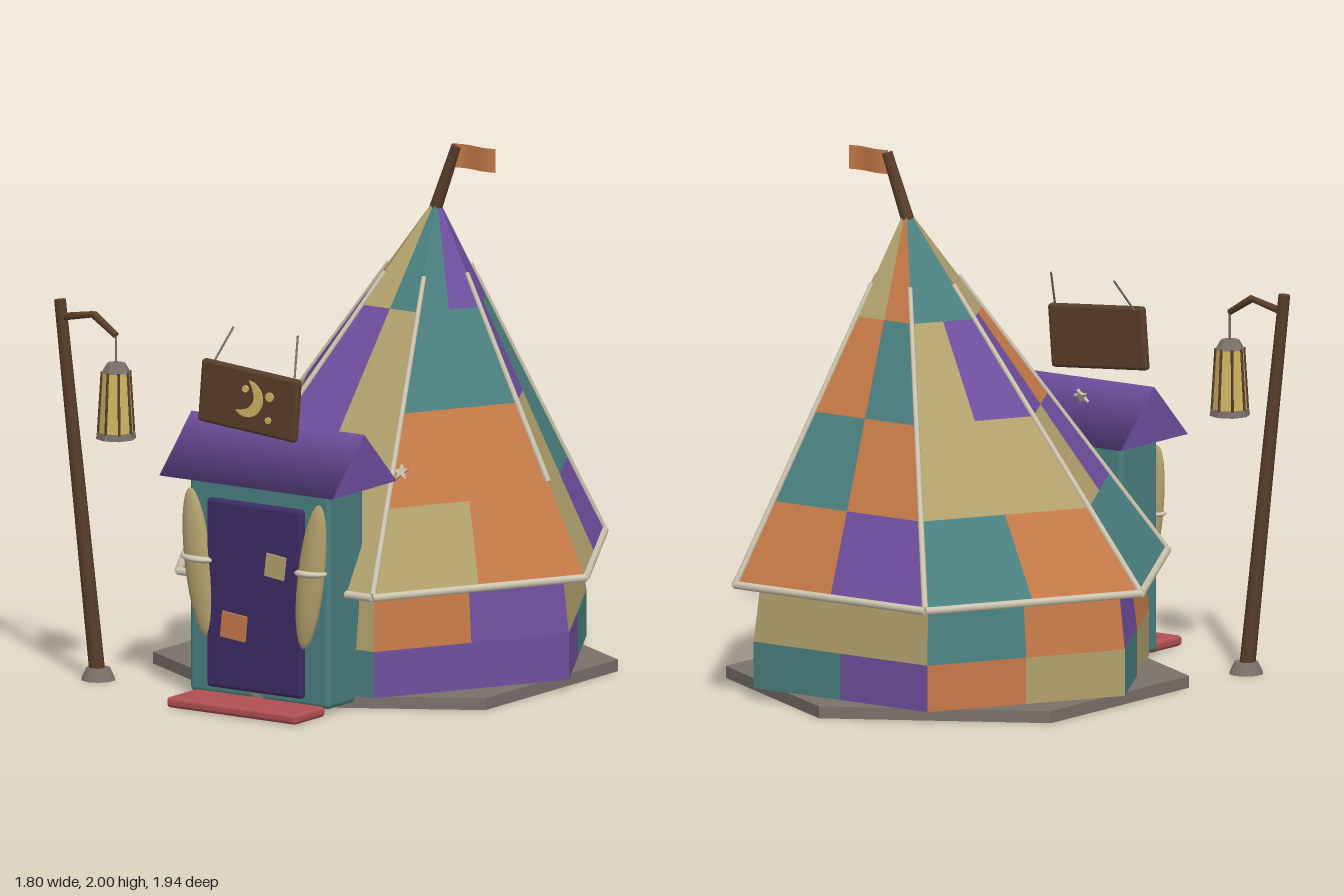
import * as THREE from 'three';
import { RoundedBoxGeometry } from 'three/addons/geometries/RoundedBoxGeometry.js';

const paint = (name, color) => {
  const m = new THREE.MeshStandardMaterial({ color, side: THREE.DoubleSide });
  m.name = name;
  return m;
};

export function createModel() {
  const purple = paint('purple cloth', 0x6f4f9f);
  const teal = paint('teal cloth', 0x4b8080);
  const orange = paint('orange cloth', 0xc67a48);
  const tan = paint('tan cloth', 0xb3a26e);
  const cream = paint('cream rope', 0xcfc6b0);
  const plum = paint('plum door', 0x3e2b66);
  const wood = paint('dark wood', 0x5a3f2a);
  const red = paint('red mat', 0xb05052);
  const stone = paint('grey stone', 0x7b716b);
  const glow = paint('lantern gold', 0xd0b562);

  const root = new THREE.Group();
  root.name = 'patchworkTent';
  const V = (x, y, z) => new THREE.Vector3(x, y, z);
  const add = (name, geo, mat, x = 0, y = 0, z = 0, rx = 0, ry = 0, rz = 0, parent = root) => {
    const m = new THREE.Mesh(geo, mat);
    m.name = name;
    m.position.set(x, y, z);
    m.rotation.set(rx, ry, rz);
    parent.add(m);
    return m;
  };
  // round bar from a to b
  const rod = (name, a, b, ra, rb, mat, parent = root) => {
    const d = b.clone().sub(a);
    const m = add(name, new THREE.CylinderGeometry(rb, ra, d.length(), 8), mat, 0, 0, 0, 0, 0, 0, parent);
    m.position.copy(a).add(b).multiplyScalar(0.5);
    m.quaternion.setFromUnitVectors(V(0, 1, 0), d.normalize());
    return m;
  };
  const flat = (w, h) => new RoundedBoxGeometry(w, h, 0.008, 1, 0.003);

  // Six-sided patchwork: rings are [x, y, z, radius]; each face has two patches per ring step
  const letters = 'PTON', cloths = [purple, teal, orange, tan];
  const corner = ([x, y, z, r], k) => V(x + r * Math.cos(k * Math.PI / 3), y, z + r * Math.sin(k * Math.PI / 3));
  const patchwork = (name, rings, faces) => {
    const pos = [], geo = new THREE.BufferGeometry();
    faces.forEach((rows, k) => rows.split(' ').forEach((row, i) => {
      for (let c = 0; c < 2; c++) {
        const at = (ring, t) => corner(ring, k).lerp(corner(ring, k + 1), t);
        const a = at(rings[i], c / 2), b = at(rings[i], (c + 1) / 2);
        const d = at(rings[i + 1], c / 2), e = at(rings[i + 1], (c + 1) / 2);
        geo.addGroup(pos.length / 3, 6, letters.indexOf(row[c]));
        for (const p of [b, a, d, b, d, e]) pos.push(p.x, p.y, p.z);
      }
    }));
    geo.setAttribute('position', new THREE.Float32BufferAttribute(pos, 3));
    geo.computeVertexNormals();
    return add(name, geo, cloths);
  };

  // Stone floor slab
  add('floorSlab', new THREE.CylinderGeometry(0.865, 0.865, 0.045, 6).toNonIndexed(), stone, 0, 0.0225, -0.105)
    .geometry.computeVertexNormals();

  // Tent walls and leaning roof
  patchwork('tentWalls',
    [[0.01, 0.045, -0.13, 0.8], [0.01, 0.22, -0.13, 0.8], [0.01, 0.5, -0.13, 0.765]],
    ['PP PO', 'TT NT', 'NT OP', 'NO OT', 'PT NN', 'TP NN']);
  const eave = [0.01, 0.44, -0.13, 0.875], tip = [0.17, 1.77, -0.19, 0.014];
  const roofRing = y => eave.map((v, i) => v + (tip[i] - v) * (y - 0.44) / 1.33);
  patchwork('tentRoof', [0.44, 0.74, 1.06, 1.4, 1.77].map(roofRing),
    ['ON OO TT PT', 'NO NP NP TN', 'TT PN OP NN', 'OT NN PN TT', 'PO OT TO ON', 'PN TN TP PP']);

  // Ropes along the eaves and ridges
  for (let k = 0; k < 6; k++) {
    rod('eaveRope', corner(eave, k), corner(eave, k + 1), 0.015, 0.015, cream);
    rod('ridgeRope', corner(roofRing(k ? 0.45 : 0.78), k), corner(roofRing(1.52), k), 0.012, 0.009, cream);
  }

  // Flagpole and waving flag
  rod('flagPole', V(0.165, 1.74, -0.19), V(0.255, 1.99, -0.2), 0.025, 0.02, wood);
  const flag = new THREE.PlaneGeometry(0.18, 0.09, 10, 1);
  const fp = flag.attributes.position;
  for (let i = 0; i < fp.count; i++) fp.setZ(i, 0.007 * Math.sin(fp.getX(i) * 35));
  flag.computeVertexNormals();
  add('flag', flag, orange, 0.34, 1.953, -0.2);

  // Porch with its prism roof
  add('porch', new RoundedBoxGeometry(0.63, 0.82, 0.23, 2, 0.02), teal, 0.015, 0.43, 0.627);
  const prism = new THREE.CylinderGeometry(1, 1, 0.78, 3);
  prism.rotateY(Math.PI / 2).rotateZ(Math.PI / 2).scale(1, 0.14, 0.2425);
  add('porchRoof', prism, purple, 0.01, 0.91, 0.61);

  // Door, sewn patches and doormat
  add('door', new RoundedBoxGeometry(0.43, 0.715, 0.04, 2, 0.015), plum, 0.01, 0.41, 0.75);
  add('doorPatch', flat(0.09, 0.09), tan, 0.11, 0.543, 0.772, 0, 0, -0.12);
  add('doorPatch', flat(0.115, 0.1), orange, -0.077, 0.295, 0.772, 0, 0, -0.1);
  add('doorMat', new RoundedBoxGeometry(0.585, 0.04, 0.2, 2, 0.015), red, 0.045, 0.022, 0.87);

  // Curtains tied at the waist
  for (const s of [-1, 1]) {
    const curtain = new THREE.SphereGeometry(1, 20, 14).scale(0.057, 0.28, 0.032);
    add('curtain', curtain, tan, 0.01 + s * 0.255, 0.52, 0.762, 0, 0, -s * 0.13);
    const tie = new THREE.SphereGeometry(1, 16, 10).scale(0.07, 0.018, 0.042);
    add('curtainTie', tie, cream, 0.01 + s * 0.255, 0.535, 0.765, 0, 0, s * 0.04);
  }

  // Hanging sign with a crescent emblem
  const sign = new THREE.Group();
  sign.name = 'sign';
  sign.position.set(0.012, 1.167, 0.795);
  sign.rotation.z = -0.08;
  root.add(sign);
  add('signBoard', new RoundedBoxGeometry(0.44, 0.24, 0.035, 2, 0.014), wood, 0, 0, 0, 0, 0, 0, sign);
  const moon = new THREE.Shape();
  moon.absarc(0, 0, 0.07, -2.3, 1.5, false);
  moon.quadraticCurveTo(0.075, -0.03, 0.07 * Math.cos(-2.3), 0.07 * Math.sin(-2.3));
  add('crescent', new THREE.ExtrudeGeometry(moon, { depth: 0.008, bevelEnabled: false }), glow, 0, 0.01, 0.016, 0, 0, 0, sign);
  for (const [x, y, r] of [[0.1, 0.035, 0.018], [0.1, -0.055, 0.013], [-0.01, 0.045, 0.014]])
    add('signDot', new THREE.CylinderGeometry(r, r, 0.008, 12), glow, x, y, 0.02, Math.PI / 2, 0, 0, sign);
  rod('signCord', V(-0.165, 1.28, 0.785), V(-0.135, 1.41, 0.69), 0.004, 0.004, stone);
  rod('signCord', V(0.205, 1.26, 0.785), V(0.155, 1.41, 0.69), 0.004, 0.004, stone);

  // Small stars pinned over the roof
  const star = new THREE.Shape();
  for (let i = 0; i < 10; i++) {
    const r = i % 2 ? 0.014 : 0.033, a = i * Math.PI / 5 + Math.PI / 2;
    star[i ? 'lineTo' : 'moveTo'](r * Math.cos(a), r * Math.sin(a));
  }
  const starGeo = new THREE.ExtrudeGeometry(star, { depth: 0.012, bevelEnabled: false });
  add('star', starGeo, cream, 0.415, 0.87, 0.385, -0.5, 0, 0.2);
  add('star', starGeo, cream, -0.28, 1.05, 0.285, -0.5, 0, -0.2);

  // Leaning lamp post with bent arm
  add('lampFoot', new THREE.CylinderGeometry(0.045, 0.066, 0.045, 10), stone, -0.752, 0.0225, 0.68);
  rod('lampPost', V(-0.757, 0.03, 0.68), V(-0.88, 1.435, 0.745), 0.03, 0.022, wood);
  const bends = [V(-0.875, 1.37, 0.742), V(-0.72, 1.4, 0.757), V(-0.61, 1.335, 0.77)];
  for (let i = 0; i < 2; i++) rod('lampArm', bends[i], bends[i + 1], 0.015, 0.012, wood);
  rod('lanternCord', bends[2], V(-0.61, 1.22, 0.77), 0.004, 0.004, stone);

  // Lantern
  const lantern = new THREE.Group();
  lantern.name = 'lantern';
  lantern.position.set(-0.61, 0, 0.77);
  root.add(lantern);
  const drum = (name, top, bottom, h, y, mat) => {
    const g = new THREE.CylinderGeometry(top, bottom, h, 8).toNonIndexed();
    g.computeVertexNormals();
    add(name, g, mat, 0, y, 0, 0, 0, 0, lantern);
  };
  drum('lanternCap', 0.035, 0.055, 0.035, 1.213, stone);
  drum('lanternGlass', 0.052, 0.066, 0.23, 1.083, glow);
  drum('lanternBase', 0.072, 0.076, 0.025, 0.958, stone);
  for (let k = 0; k < 8; k++) {
    const c = Math.cos(k * Math.PI / 4), s = Math.sin(k * Math.PI / 4);
    rod('lanternBar', V(0.068 * c, 0.96, 0.068 * s), V(0.053 * c, 1.2, 0.053 * s), 0.005, 0.005, wood, lantern);
  }
  return root;
}
